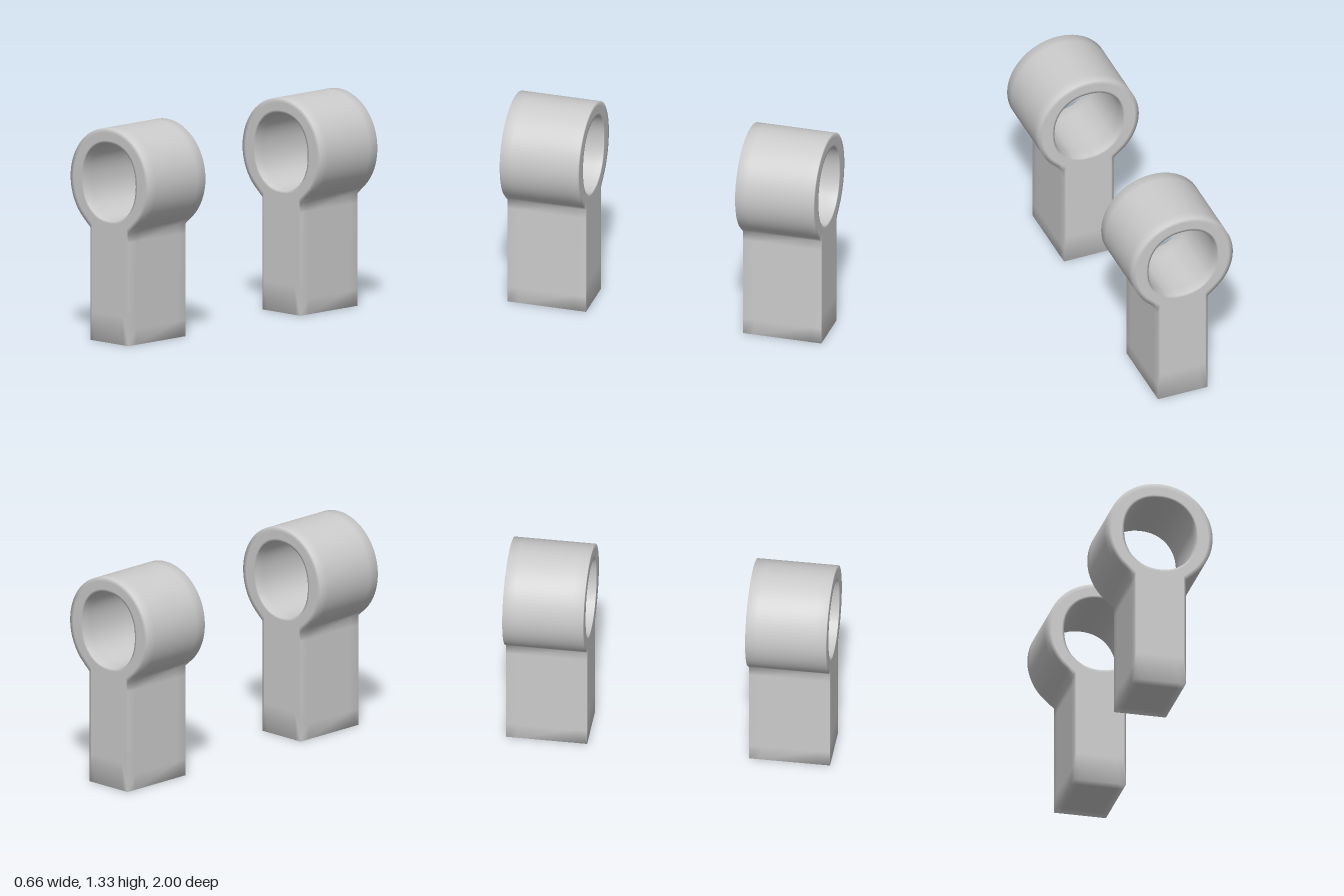
import * as THREE from 'three';

const CY = 0.9975;   // height of the eye centre
const R = 0.332;     // outer radius of the eye
const W = 0.163;     // half width of the stem
const HALF = 0.25;   // half depth of a bracket

// Keyhole outline, counter-clockwise from bottom centre to top centre (right half)
function halfOutline() {
  const pts = [[0, 0], [W * 0.4, 0], [W * 0.75, 0], [W, 0]];
  for (const y of [0.1, 0.25, 0.4, 0.55, 0.64, 0.7]) pts.push([W, y]);
  pts.push([0.205, 0.736]);
  for (let k = 0; k <= 22; k++) {
    const t = THREE.MathUtils.degToRad(-42 + 132 * k / 22);
    pts.push([R * Math.cos(t), CY + R * Math.sin(t)]);
  }
  return pts;
}

// Slightly squared oval hole, met along the ray from the eye centre
function holePoint([x, y]) {
  const t = Math.atan2(y - CY, x), n = 2.2;
  const c = Math.cos(t), s = Math.sin(t);
  const r = (Math.abs(c / 0.226) ** n + Math.abs(s / 0.242) ** n) ** (-1 / n);
  return [r * c, CY + r * s];
}

// Support loop just inside the outline, keeps the flat faces flat
const inset = ([x, y]) => [x * 0.92, Math.max(CY + (y - CY) * 0.92, 0.18)];

function bracketGeometry() {
  const half = halfOutline();
  const outline = half.concat(half.slice(1, -1).reverse().map(([x, y]) => [-x, y]));
  const position = [], index = [];
  const soft = HALF - 0.07;
  let m = 0;
  // One closed section per outline point: hole, front face, outside, back face
  for (const p of outline) {
    const h = holePoint(p), q = inset(p);
    const rim = [h[0] * 1.06, CY + (h[1] - CY) * 1.06];
    const section = [
      [h, HALF], [rim, HALF], [q, HALF], [p, HALF], [p, soft],
      [p, -soft], [p, -HALF], [q, -HALF], [rim, -HALF], [h, -HALF],
      [h, -soft], [h, soft],
    ];
    m = section.length;
    for (const [[x, y], z] of section) position.push(x, y, z);
  }
  const n = outline.length;
  for (let i = 0; i < n; i++) {
    for (let j = 0; j < m; j++) {
      const i2 = (i + 1) % n, j2 = (j + 1) % m;
      const a = i * m + j, b = i * m + j2, c = i2 * m + j2, d = i2 * m + j;
      index.push(a, b, c, a, c, d);
    }
  }
  const g = new THREE.BufferGeometry();
  g.setAttribute('position', new THREE.Float32BufferAttribute(position, 3));
  g.setIndex(index);
  g.computeVertexNormals();
  return g;
}

export function createModel() {
  const group = new THREE.Group();
  group.name = 'bracketPair';
  const material = new THREE.MeshStandardMaterial({ color: 0xcccccc });
  const geometry = bracketGeometry();
  // Two identical eye brackets, front and back
  for (const [name, z] of [['frontBracket', 0.75], ['backBracket', -0.75]]) {
    const mesh = new THREE.Mesh(geometry, material);
    mesh.name = name;
    mesh.position.z = z;
    group.add(mesh);
  }
  return group;
}
